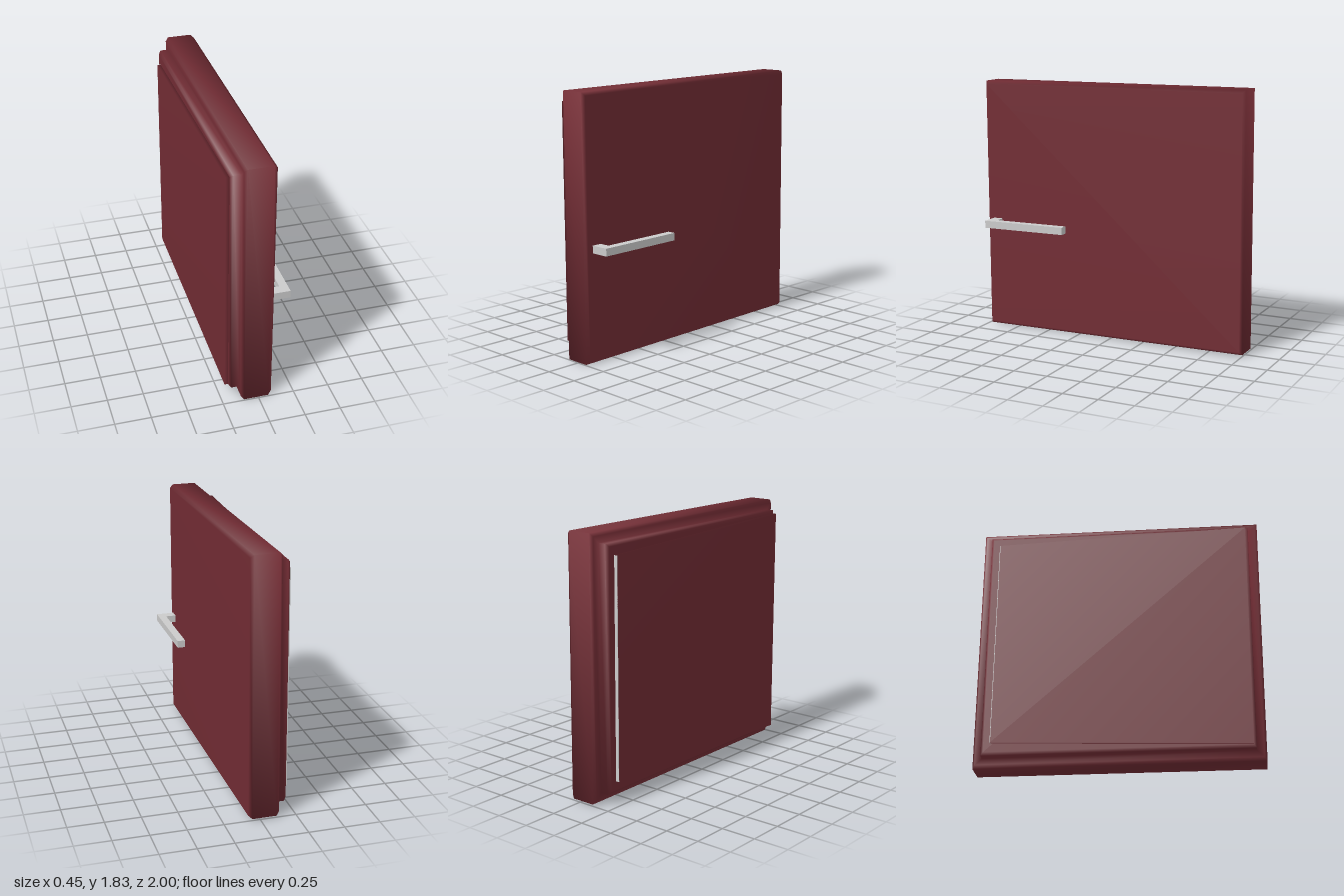
import * as THREE from 'three';

const MID = 0.915; // height of the door's centre

// Closed, smooth-shaded solid lofted through four-cornered sections along -x.
// Section: [x, zBack, zFront, halfHeightBack, halfHeightFront]
function loft(sections) {
  const pos = [], idx = [0, 1, 2, 0, 2, 3];
  for (const [x, z0, z1, h0, h1] of sections) {
    pos.push(x, -h0, z0, x, h0, z0, x, h1, z1, x, -h1, z1);
  }
  for (let s = 0; s < sections.length - 1; s++) {
    for (let i = 0; i < 4; i++) {
      const a = s * 4 + i, b = s * 4 + (i + 1) % 4;
      idx.push(a, a + 4, b, b, a + 4, b + 4);
    }
  }
  const e = (sections.length - 1) * 4;
  idx.push(e, e + 2, e + 1, e, e + 3, e + 2);
  const geo = new THREE.BufferGeometry();
  geo.setAttribute('position', new THREE.Float32BufferAttribute(pos, 3));
  geo.setIndex(idx);
  geo.computeVertexNormals();
  return geo;
}

const ring = (x, z, h) => [x, -z, z, h, h];

export function createModel() {
  const red = new THREE.MeshStandardMaterial({ color: 0x722c34 });
  const grey = new THREE.MeshStandardMaterial({ color: 0xcccccc });
  const model = new THREE.Group();
  model.name = 'door';

  const add = (name, geo, mat) => {
    const mesh = new THREE.Mesh(geo, mat);
    mesh.name = name;
    model.add(mesh);
    return mesh;
  };

  // Bevelled slab with a smaller bevelled step on its inner side
  add('doorSlab', loft([
    ring(0.088, 0.98, 0.885),
    ring(0.063, 0.996, 0.907),
    ring(-0.107, 0.996, 0.907),
    ring(-0.127, 0.98, 0.885),
    ring(-0.127, 0.93, 0.84),
    ring(-0.18, 0.93, 0.84),
    ring(-0.198, 0.91, 0.82),
  ]), red);

  // Inner panel, taller at the handle end
  add('innerPanel', loft([
    [-0.19, -0.86, 0.91, 0.76, 0.82],
    [-0.222, -0.86, 0.91, 0.76, 0.82],
  ]), red);

  // Pale strip on the panel's hinge edge
  add('panelEdgeStrip', new THREE.BoxGeometry(0.024, 1.52, 0.004), grey)
    .position.set(-0.21, 0, -0.861);

  // L-shaped lever handle, drawn in plan and extruded upward
  const plan = new THREE.Shape([
    [0.07, -0.94], [0.218, -0.94], [0.218, -0.31],
    [0.162, -0.31], [0.162, -0.87], [0.07, -0.87],
  ].map(([x, y]) => new THREE.Vector2(x, y)));
  const lever = new THREE.ExtrudeGeometry(plan, { depth: 0.052, bevelEnabled: false });
  lever.rotateX(-Math.PI / 2);
  add('handle', lever, grey).position.y = 0.765 - MID;

  // The door sits very slightly askew
  model.position.y = MID;
  model.rotation.set(0.006, 0.0075, 0);

  const root = new THREE.Group();
  root.name = 'doorAssembly';
  root.add(model);
  return root;
}
